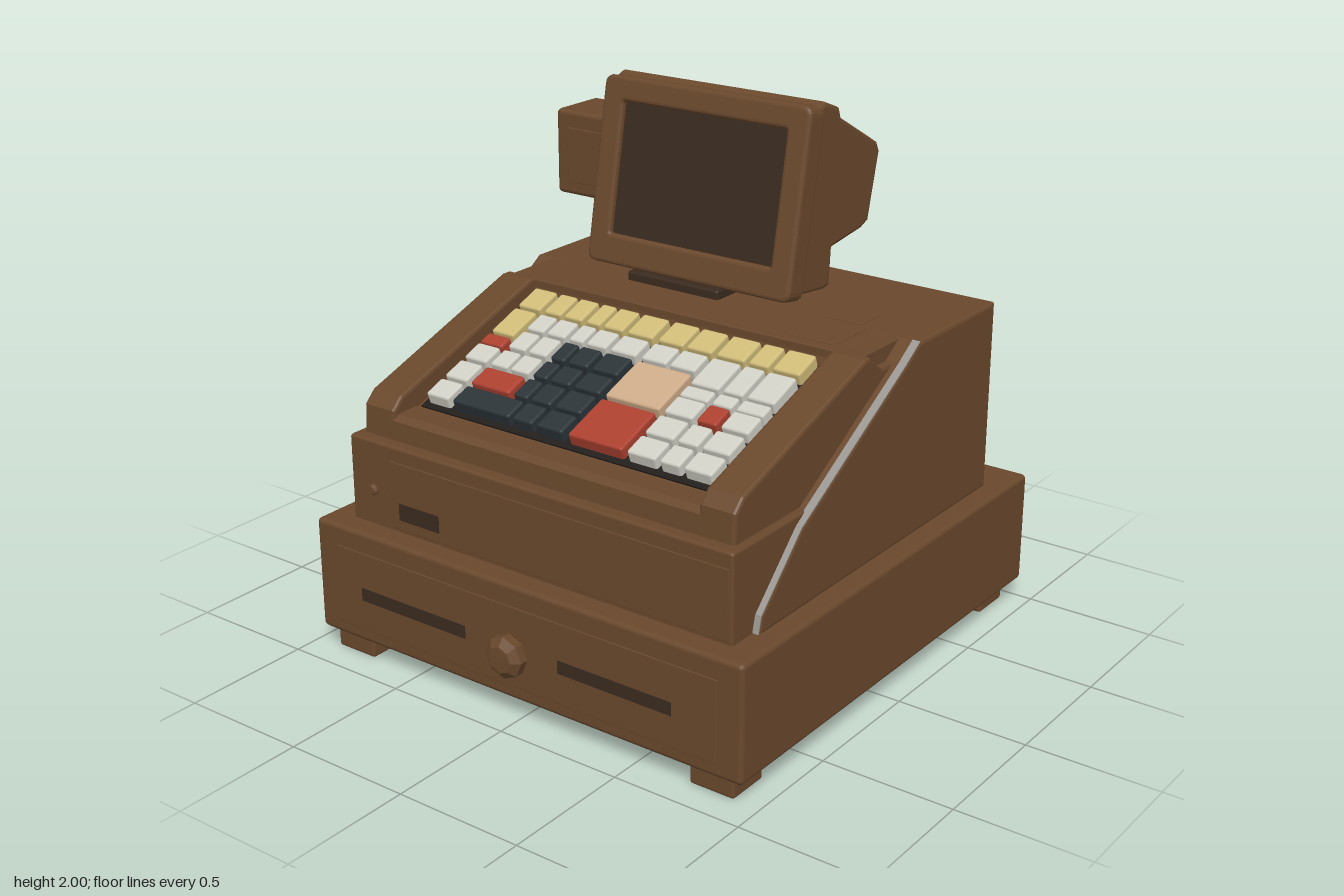
import * as THREE from 'three';
import { RoundedBoxGeometry } from 'three/addons/geometries/RoundedBoxGeometry.js';

const material = (name, color) => {
  const m = new THREE.MeshStandardMaterial({ color });
  m.name = name;
  return m;
};

export function createModel() {
  const brown = material('caseBrown', 0x69482c);
  const dark = material('darkBrown', 0x392a1f);
  const black = material('keyBedBlack', 0x221e1b);
  const yellow = material('keyYellow', 0xcfbb78);
  const white = material('keyWhite', 0xd0cfc5);
  const red = material('keyRed', 0xac4030);
  const slate = material('keySlate', 0x2b3438);
  const beige = material('keyBeige', 0xcdaa88);
  const grey = material('trimGrey', 0x9a9691);

  const model = new THREE.Group();
  model.name = 'cashRegister';

  const add = (name, geometry, mat, parent = model) => {
    const mesh = new THREE.Mesh(geometry, mat);
    mesh.name = name;
    parent.add(mesh);
    return mesh;
  };
  // Box given by its limits on each axis, with optional rounded edges
  const box = (name, mat, [x0, x1], [y0, y1], [z0, z1], r = 0, parent = model) => {
    const s = [x1 - x0, y1 - y0, z1 - z0];
    const g = r ? new RoundedBoxGeometry(...s, 2, r) : new THREE.BoxGeometry(...s);
    const mesh = add(name, g, mat, parent);
    mesh.position.set((x0 + x1) / 2, (y0 + y1) / 2, (z0 + z1) / 2);
    return mesh;
  };
  // Side profile of [z, y] points, extruded across x with bevelled ends
  const profile = (name, mat, points, x0, x1, bevel = 0.012) => {
    const shape = new THREE.Shape(points.map(p => new THREE.Vector2(...p)));
    const g = new THREE.ExtrudeGeometry(shape, {
      depth: x1 - x0 - 2 * bevel, bevelEnabled: true, bevelSize: bevel,
      bevelThickness: bevel, bevelOffset: -bevel, bevelSegments: 2,
    });
    g.translate(0, 0, -(x1 - x0 - 2 * bevel) / 2);
    g.rotateY(-Math.PI / 2);
    g.translate((x0 + x1) / 2, 0, 0);
    return add(name, g, mat);
  };

  // Cash drawer with a dark underside, and feet
  box('drawerCase', brown, [-0.95, 0.95], [0.08, 0.52], [-1, 0.91], 0.018);
  box('drawerUnderside', dark, [-0.935, 0.935], [0.077, 0.083], [-0.985, 0.895]);
  box('drawerFront', brown, [-0.85, 0.85], [0.13, 0.44], [0.9, 0.913], 0.003);
  for (const [x0, x1] of [[-0.73, -0.23], [0.19, 0.67]])
    box('drawerSlot', dark, [x0, x1], [0.25, 0.3], [0.909, 0.916]);
  for (const x of [-0.81, 0.81])
    for (const z of [0.797, -0.857])
      box('foot', brown, [x - 0.09, x + 0.09], [0, 0.1], [z - 0.085, z + 0.085], 0.012);

  // Drawer knob and the small lock on the lower front
  const knobProfile = [[0.04, 0], [0.045, 0.02], [0.078, 0.03], [0.08, 0.065], [0.05, 0.088], [0, 0.09]];
  const knob = (name, x, y, z, scale) => {
    const g = new THREE.LatheGeometry(knobProfile.map(p => new THREE.Vector2(...p)), 8).toNonIndexed();
    g.computeVertexNormals();
    g.rotateX(Math.PI / 2);
    const mesh = add(name, g, brown);
    mesh.position.set(x, y, z);
    mesh.scale.setScalar(scale);
  };
  knob('drawerKnob', 0, 0.275, 0.91, 1);
  knob('frontLock', -0.73, 0.66, 0.815, 0.27);

  // Lower front section with its panel and slot
  box('lowerFront', brown, [-0.845, 0.845], [0.51, 0.848], [0.3, 0.82], 0.012);
  box('frontPanel', brown, [-0.65, 0.83], [0.53, 0.79], [0.81, 0.823], 0.003);
  box('frontSlot', dark, [-0.61, -0.42], [0.57, 0.635], [0.819, 0.826]);

  // Rear housing
  const seam = [[0.705, 0.52], [0.69, 0.58], [0.46, 0.81], [-0.18, 1.19], [-0.27, 1.25]];
  profile('rearHousing', brown, [...seam, [-0.81, 1.25], [-0.81, 0.515], [0.705, 0.515]], -0.86, 0.87);

  // Light trim along the forward edge of the housing on one side
  for (let i = 1; i < seam.length; i++) {
    const [z0, y0] = seam[i - 1], [z1, y1] = seam[i];
    const strip = add('sideTrim', new THREE.BoxGeometry(0.03, 0.005, Math.hypot(z1 - z0, y1 - y0)), grey);
    strip.position.set(0.853, (y0 + y1) / 2 + 0.001, (z0 + z1) / 2);
    strip.rotation.x = Math.atan2(y1 - y0, z0 - z1);
  }

  // Keyboard deck between two raised cheeks, with a ledge behind it
  const slope = 0.378, tilt = Math.atan(slope);
  const deckY = z => 1.18 - slope * z;
  profile('keyboardDeck', brown, [[0.775, 0.8], [0.767, 0.92], [0.745, 0.94], [0.655, 0.942], [0.645, deckY(0.645)],
    [-0.01, deckY(-0.01)], [-0.03, 1.25], [-0.275, 1.25], [-0.275, 0.8]], -0.7, 0.7, 0.006);
  box('rearLedge', brown, [-0.785, 0.785], [1.1, 1.249], [-0.275, -0.02], 0.006);
  for (const s of [-1, 1]) {
    const xs = [s * 0.67, s * 0.815].sort((a, b) => a - b);
    profile('keyboardCheek', brown, [[0.775, 0.8], [0.765, 0.955], [0.72, 1.0], [0, 1.25], [-0.03, 1.25],
      [-0.11, 1.19], [-0.3, 1.19], [-0.3, 0.8]], ...xs);
  }
  const bed = add('keyBed', new THREE.BoxGeometry(1.3, 0.008, 0.645 / Math.cos(tilt)), black);
  bed.position.set(-0.005, deckY(0.318) + 0.003, 0.318);
  bed.rotation.x = tilt;

  // Keys: columns and rows are [start, end] along x and z
  const cols = [[-0.635, -0.53], [-0.51, -0.43], [-0.415, -0.33], [-0.31, -0.245], [-0.23, -0.14], [-0.12, -0.005],
    [0.02, 0.13], [0.145, 0.255], [0.275, 0.395], [0.412, 0.495], [0.512, 0.625]];
  const rows = [[0.005, 0.112], [0.127, 0.212], [0.227, 0.318], [0.335, 0.418], [0.434, 0.525], [0.54, 0.626]];
  const tall = [0.127, 0.265], short = [0.277, 0.33];
  const key = (mat, [x0, x1], [z0, z1]) => {
    const g = new RoundedBoxGeometry(x1 - x0, 0.055, (z1 - z0) / Math.cos(tilt), 2, 0.01);
    const mesh = add('key', g, mat);
    const z = (z0 + z1) / 2;
    mesh.position.set((x0 + x1) / 2, deckY(z) + 0.028, z);
    mesh.rotation.x = tilt;
  };
  const span = (a, b) => [a[0], b[1]];
  cols.forEach((c, i) => {
    key(yellow, c, rows[0]);
    if (i === 0 || i > 7) { // outer columns
      key(i ? white : yellow, c, tall);
      key(i ? white : red, c, short);
      key(i === 9 ? red : white, c, rows[3]);
      key(white, c, rows[4]);
      key(white, c, rows[5]);
    } else {
      key(white, c, rows[1]);
      if (i < 3) for (const r of [2, 3]) key(white, c, rows[r]);
      else if (i < 6) for (const r of [2, 3, 4, 5]) if (i > 3 || r < 5) key(slate, c, rows[r]);
    }
  });
  key(red, span(cols[1], cols[2]), rows[4]);
  key(slate, span(cols[1], cols[3]), rows[5]);
  key(beige, span(cols[6], cols[7]), span(rows[2], rows[3]));
  key(red, span(cols[6], cols[7]), span(rows[4], rows[5]));

  // Small lids on the top
  box('topLid', brown, [0.46, 0.65], [1.24, 1.254], [-0.27, -0.06], 0.003);
  box('topHatch', brown, [0.46, 0.61], [1.24, 1.254], [-0.43, -0.3], 0.003);

  // Screen stand
  box('standBase', dark, [-0.38, 0.04], [1.24, 1.285], [-0.64, -0.22], 0.01);
  box('standNeck', brown, [-0.38, 0.04], [1.24, 1.48], [-0.655, -0.49], 0.012);

  // Screen housing
  profile('screenHousing', brown, [[-0.275, 1.31], [-0.4, 1.98], [-0.44, 1.995], [-0.53, 1.96], [-0.545, 1.92],
    [-0.8, 1.78], [-0.82, 1.74], [-0.755, 1.485], [-0.705, 1.465], [-0.505, 1.44], [-0.495, 1.3], [-0.46, 1.29]],
    -0.567, 0.352, 0.015);

  // Tilted bezel with a recessed screen
  const front = new THREE.Group();
  front.name = 'screenFront';
  front.position.set(-0.1075, 1.648, -0.275);
  front.rotation.x = -0.184;
  model.add(front);
  const roundRect = (path, w, h, r, cy = 0) => {
    const x = w / 2, y0 = cy - h / 2, y1 = cy + h / 2;
    path.moveTo(-x + r, y0).lineTo(x - r, y0).quadraticCurveTo(x, y0, x, y0 + r);
    path.lineTo(x, y1 - r).quadraticCurveTo(x, y1, x - r, y1).lineTo(-x + r, y1);
    path.quadraticCurveTo(-x, y1, -x, y1 - r).lineTo(-x, y0 + r).quadraticCurveTo(-x, y0, -x + r, y0);
    return path;
  };
  const bezel = roundRect(new THREE.Shape(), 0.925, 0.71, 0.04);
  bezel.holes.push(roundRect(new THREE.Path(), 0.735, 0.5, 0.01, 0.012));
  add('screenBezel', new THREE.ExtrudeGeometry(bezel, {
    depth: 0.07, bevelEnabled: true, bevelSize: 0.015, bevelThickness: 0.015,
    bevelOffset: -0.015, bevelSegments: 3, curveSegments: 5,
  }).translate(0, 0, -0.085), brown, front);
  box('screen', dark, [-0.385, 0.385], [-0.25, 0.275], [-0.032, -0.024], 0, front);

  // Customer display on its pole
  box('displayPole', brown, [-0.73, -0.62], [1.24, 1.48], [-0.62, -0.53], 0.01);
  box('displayPoleFront', dark, [-0.722, -0.628], [1.25, 1.45], [-0.533, -0.527]);
  box('customerDisplay', brown, [-0.925, -0.54], [1.447, 1.788], [-0.72, -0.47], 0.02);
  box('customerDisplayFront', brown, [-0.865, -0.575], [1.5, 1.72], [-0.474, -0.465], 0.003);

  return model;
}
